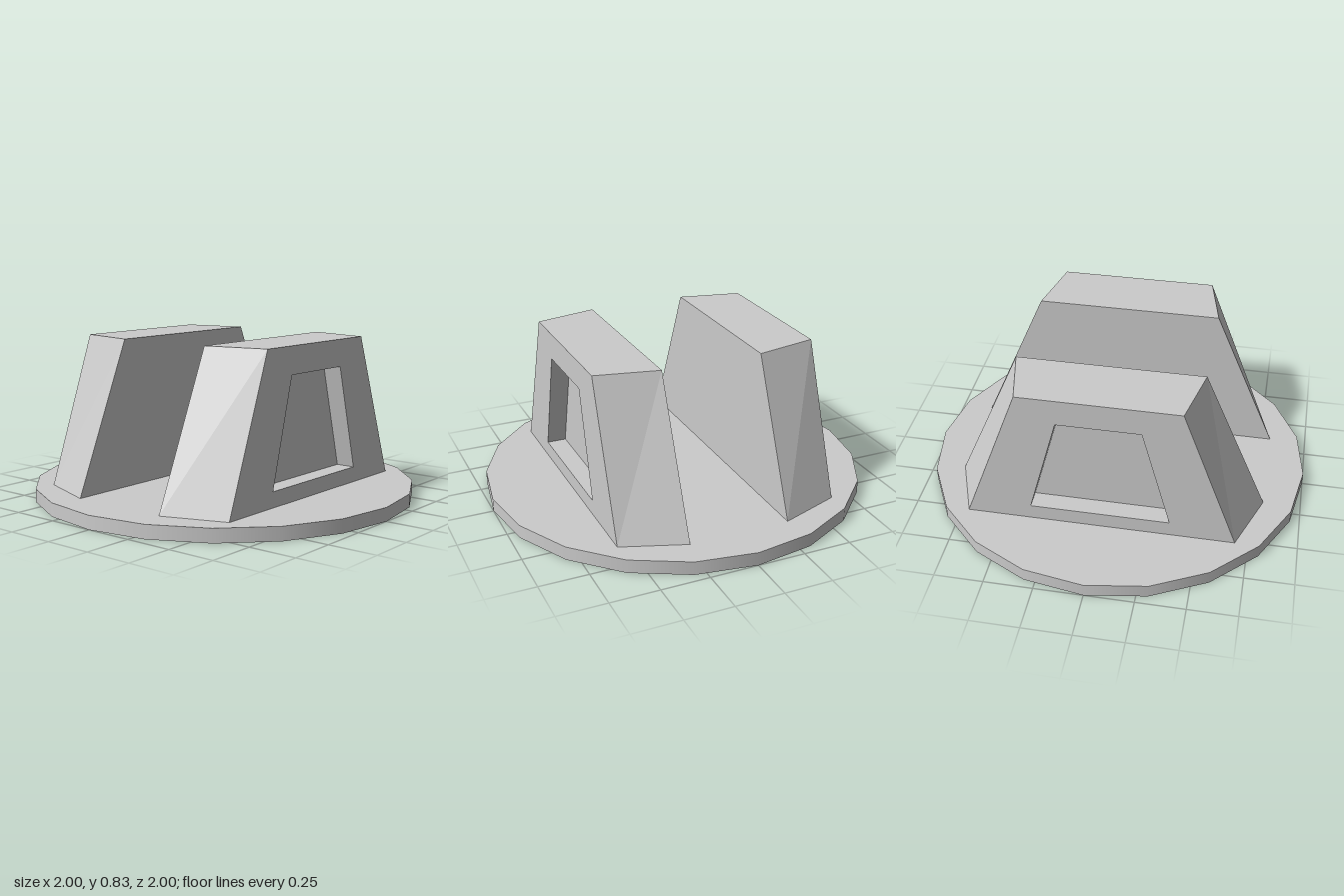
import * as THREE from 'three';

const material = new THREE.MeshStandardMaterial({ color: 0xcccccc });

// Trapezoid in the plane x, symmetric about z = 0
const trapezoid = (x, y0, y1, z0, z1) => [[x, y0, -z0], [x, y0, z0], [x, y1, z1], [x, y1, -z1]];

// Skin four-cornered sections into a closed, hard-edged solid
function loft(sections) {
  const pos = [];
  const quad = (a, b, c, d) => pos.push(...a, ...b, ...c, ...a, ...c, ...d);
  for (let i = 0; i < sections.length - 1; i++) {
    const s = sections[i], t = sections[i + 1];
    for (let k = 0; k < 4; k++) {
      const n = (k + 1) % 4;
      quad(s[k], t[k], t[n], s[n]);
    }
  }
  quad(...sections[0]);
  quad(...[...sections[sections.length - 1]].reverse());
  const geometry = new THREE.BufferGeometry();
  geometry.setAttribute('position', new THREE.Float32BufferAttribute(pos, 3));
  geometry.computeVertexNormals();
  return geometry;
}

export function createModel() {
  const model = new THREE.Group();
  model.name = 'twinBlockStand';

  // Thin round base plate
  const baseHeight = 0.07;
  const base = new THREE.Mesh(new THREE.CylinderGeometry(1, 1, baseHeight, 20), material);
  base.name = 'basePlate';
  base.position.y = baseHeight / 2;
  model.add(base);

  // Tapered block: inner face, outer face, recess rim, recess floor
  const inner = 0.263, outer = 0.587, recessDepth = 0.1, top = 0.835;
  const blockGeometry = loft([
    trapezoid(inner, baseHeight, top, 0.805, 0.475),
    trapezoid(outer, baseHeight, top, 0.687, 0.405),
    trapezoid(outer, 0.15, 0.695, 0.355, 0.21),
    trapezoid(outer - recessDepth, 0.15, 0.695, 0.355, 0.21),
  ]);

  // The pair, each with its recess facing outward
  ['leftBlock', 'rightBlock'].forEach((name, i) => {
    const block = new THREE.Mesh(blockGeometry, material);
    block.name = name;
    block.rotation.y = i * Math.PI;
    model.add(block);
  });

  return model;
}
